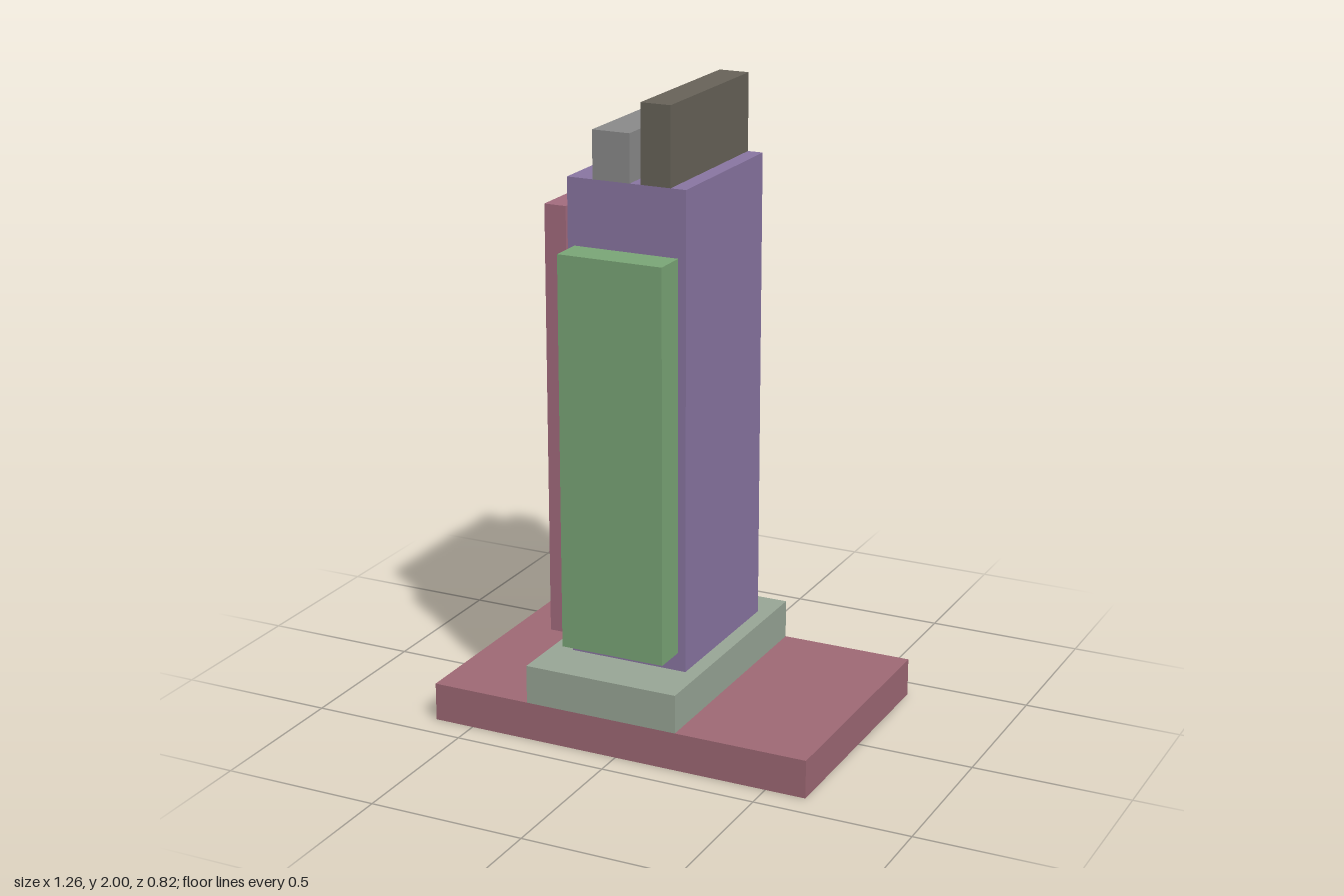
import * as THREE from 'three';

// Adds a box given its [min, max] extent along each axis
function addBlock(group, name, color, [x0, x1], [y0, y1], [z0, z1]) {
  const mesh = new THREE.Mesh(
    new THREE.BoxGeometry(x1 - x0, y1 - y0, z1 - z0),
    new THREE.MeshStandardMaterial({ color })
  );
  mesh.position.set((x0 + x1) / 2, (y0 + y1) / 2, (z0 + z1) / 2);
  mesh.name = name;
  group.add(mesh);
}

export function createModel() {
  const group = new THREE.Group();
  group.name = 'blockTower';
  const depth = [-0.267, 0.267]; // shared by the tower and its roof slabs
  const baseDepth = [-0.412, 0.412]; // shared by the base and plinth

  // Stepped base
  addBlock(group, 'base', 0xa06a76, [-0.63, 0.63], [0, 0.122], baseDepth);
  addBlock(group, 'plinth', 0x9aa898, [-0.304, 0.202], [0.122, 0.245], baseDepth);

  // Main tower, floating just above the plinth
  addBlock(group, 'tower', 0x8b77a4, [-0.219, 0.167], [0.258, 1.758], depth);

  // Slabs around the tower
  addBlock(group, 'frontSlab', 0x7ca878, [-0.197, 0.142], [0.316, 1.552], [0.267, 0.375]);
  addBlock(group, 'rightSlab', 0xa56d80, [-0.304, -0.233], [0.305, 1.664], [-0.207, 0.252]);
  addBlock(group, 'backBlock', 0x718c69, [0, 0.095], [0.428, 1.006], [-0.4, -0.279]);

  // Roof slabs
  addBlock(group, 'lowRoofSlab', 0x8c8c8c, [-0.135, -0.014], [1.758, 1.906], depth);
  addBlock(group, 'tallRoofSlab', 0x69645a, [0.022, 0.118], [1.758, 2], depth);

  return group;
}
